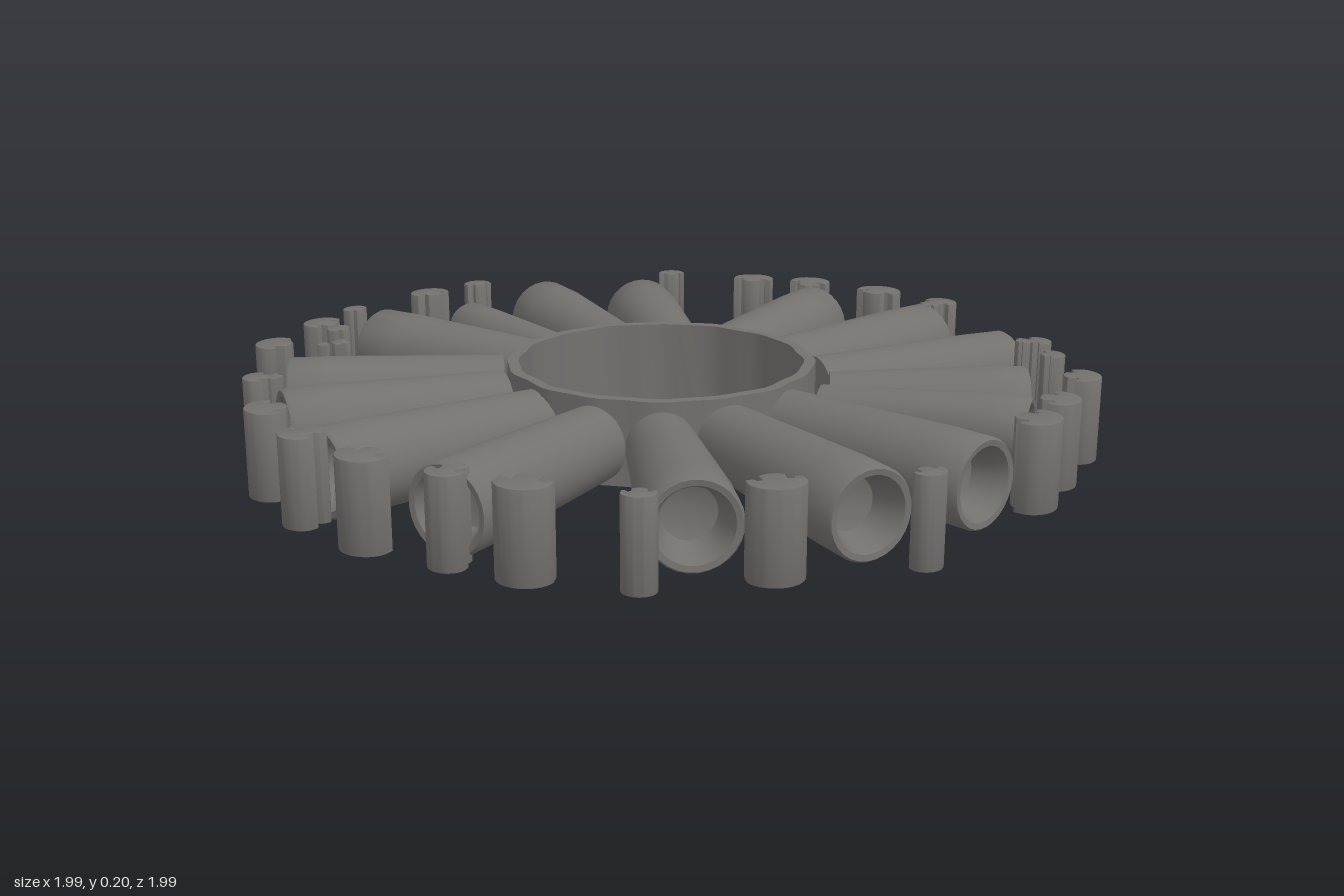
import * as THREE from 'three';
import { toCreasedNormals } from 'three/addons/utils/BufferGeometryUtils.js';

const MID = 0.108; // height of the tube axes
const BOTTOM = 0.008, TOP = 0.208;

const stone = new THREE.MeshStandardMaterial({ color: 0x73716e });
stone.name = 'warm grey';

// Upright prism from a flat outline drawn in (x, -z)
function prism(shape, bevel) {
  const geo = new THREE.ExtrudeGeometry(shape, {
    depth: TOP - BOTTOM - 2 * bevel, bevelEnabled: bevel > 0,
    bevelThickness: bevel, bevelSize: bevel, bevelOffset: -bevel, bevelSegments: 2, curveSegments: 8,
  });
  geo.rotateX(-Math.PI / 2);
  geo.translate(0, BOTTOM + bevel, 0);
  return toCreasedNormals(geo, 0.7);
}

// Slightly uneven circle for the hub
function unevenCircle(radius, wobble) {
  const points = [];
  for (let i = 0; i < 72; i++) {
    const a = (i / 72) * Math.PI * 2;
    const r = radius + wobble * (Math.sin(a * 16) * 0.6 + Math.sin(a * 9 + 1) * 0.4);
    points.push(new THREE.Vector2(r * Math.cos(a), r * Math.sin(a)));
  }
  return points;
}

// Gently tapered tube with a hollow mouth, lying from (x0, z0) to (x1, z1)
function makeTube([x0, z0, x1, z1, r0, r1]) {
  const length = Math.hypot(x1 - x0, z1 - z0);
  const profile = [
    [0, 0], [r0, 0], [(r0 + r1) / 2, length * 0.4], [r1, length * 0.8], [r1, length - 0.008],
    [r1 * 0.95, length], [r1 * 0.82, length - 0.002], [r1 * 0.7, length - 0.03],
    [r1 * 0.58, length - 0.08], [0, length - 0.1],
  ].map(([r, y]) => new THREE.Vector2(r, y));
  const geo = toCreasedNormals(new THREE.LatheGeometry(profile, 28), 0.75);
  const mesh = new THREE.Mesh(geo, stone);
  mesh.position.set(x0, MID, z0);
  mesh.quaternion.setFromUnitVectors(
    new THREE.Vector3(0, 1, 0),
    new THREE.Vector3(x1 - x0, 0, z1 - z0).normalize(),
  );
  mesh.name = 'spokeTube';
  return mesh;
}

// Lobed post: domed cap facing outward, notched teeth and a stem facing inward
function makePost([x, z, s]) {
  const shape = new THREE.Shape();
  shape.moveTo(0.05 * s, -s);
  shape.bezierCurveTo(0.5 * s, -0.95 * s, 0.85 * s, -0.5 * s, 0.85 * s, 0);
  shape.bezierCurveTo(0.85 * s, 0.5 * s, 0.5 * s, 0.95 * s, 0.05 * s, s);
  const half = [[-0.35, 0.95], [-0.3, 0.65], [-0.15, 0.6], [-0.2, 0.42], [-0.6, 0.45], [-0.75, 0.2]];
  half.forEach(([u, v]) => shape.lineTo(u * s, v * s));
  half.reverse().forEach(([u, v]) => shape.lineTo(u * s, -v * s));
  const mesh = new THREE.Mesh(prism(shape, 0.003), stone);
  mesh.position.set(x, 0, z);
  mesh.rotation.y = Math.atan2(-z, x);
  mesh.name = 'rimPost';
  return mesh;
}

export function createModel() {
  const model = new THREE.Group();
  model.name = 'spokedRing';

  // Hub ring
  const ring = new THREE.Shape(unevenCircle(0.362, 0.006));
  ring.holes.push(new THREE.Path(unevenCircle(0.336, 0.005)));
  const hub = new THREE.Mesh(prism(ring, 0), stone);
  hub.name = 'hubRing';
  model.add(hub);

  // Spokes: inner x, z, outer x, z, inner radius, outer radius
  const spokes = new THREE.Group();
  spokes.name = 'spokes';
  [
    [0, -0.345, 0, -0.905, 0.088, 0.1],
    [0.18, -0.335, 0.32, -0.855, 0.086, 0.097],
    [0.285, -0.28, 0.59, -0.625, 0.08, 0.1],
    [0.3, -0.24, 0.72, -0.49, 0.06, 0.08],
    [0.345, -0.09, 0.9, -0.14, 0.085, 0.1],
    [0.345, 0.08, 0.885, 0.17, 0.082, 0.1],
    [0.295, 0.23, 0.72, 0.48, 0.08, 0.1],
    [0.18, 0.33, 0.35, 0.81, 0.086, 0.1],
    [0, 0.345, 0, 0.895, 0.086, 0.1],
    [-0.175, 0.33, -0.31, 0.83, 0.086, 0.1],
    [-0.285, 0.26, -0.545, 0.7, 0.09, 0.1],
    [-0.33, 0.105, -0.85, 0.28, 0.086, 0.1],
    [-0.345, -0.03, -0.893, -0.02, 0.055, 0.068],
    [-0.33, -0.155, -0.87, -0.255, 0.075, 0.1],
    [-0.27, -0.265, -0.72, -0.49, 0.08, 0.1],
    [-0.175, -0.335, -0.34, -0.815, 0.086, 0.1],
  ].forEach((s) => spokes.add(makeTube(s)));
  model.add(spokes);

  // Free-standing posts around the rim: x, z, half width
  const posts = new THREE.Group();
  posts.name = 'rimPosts';
  [
    [0, -0.96, 0.045], [-0.2, -0.925, 0.062], [-0.405, -0.855, 0.056], [-0.535, -0.755, 0.056],
    [-0.737, -0.615, 0.036], [-0.965, -0.095, 0.038], [-0.95, 0.07, 0.054], [-0.905, 0.325, 0.034],
    [-0.82, 0.465, 0.054], [-0.74, 0.46, 0.034], [-0.612, 0.52, 0.028], [-0.62, 0.565, 0.018],
    [-0.7, 0.655, 0.056], [-0.445, 0.825, 0.04], [-0.21, 0.915, 0.058], [0, 0.95, 0.046],
    [0.2, 0.91, 0.06], [0.39, 0.835, 0.042], [0.535, 0.75, 0.06], [0.72, 0.615, 0.036],
    [0.83, 0.37, 0.06], [0.967, 0.098, 0.036], [0.865, -0.335, 0.062], [0.8, -0.485, 0.056],
    [0.71, -0.67, 0.054], [0.545, -0.765, 0.036], [0.44, -0.84, 0.036],
  ].forEach((p) => posts.add(makePost(p)));
  // Short necks that tie some posts to the spoke mouths
  [[0, -0.915, 0.028], [0, 0.905, 0.028], [-0.37, -0.82, 0.03], [0.375, 0.8, 0.028],
    [-0.425, 0.79, 0.024], [0.415, -0.81, 0.024]].forEach((p) => posts.add(makePost(p)));
  model.add(posts);

  return model;
}
